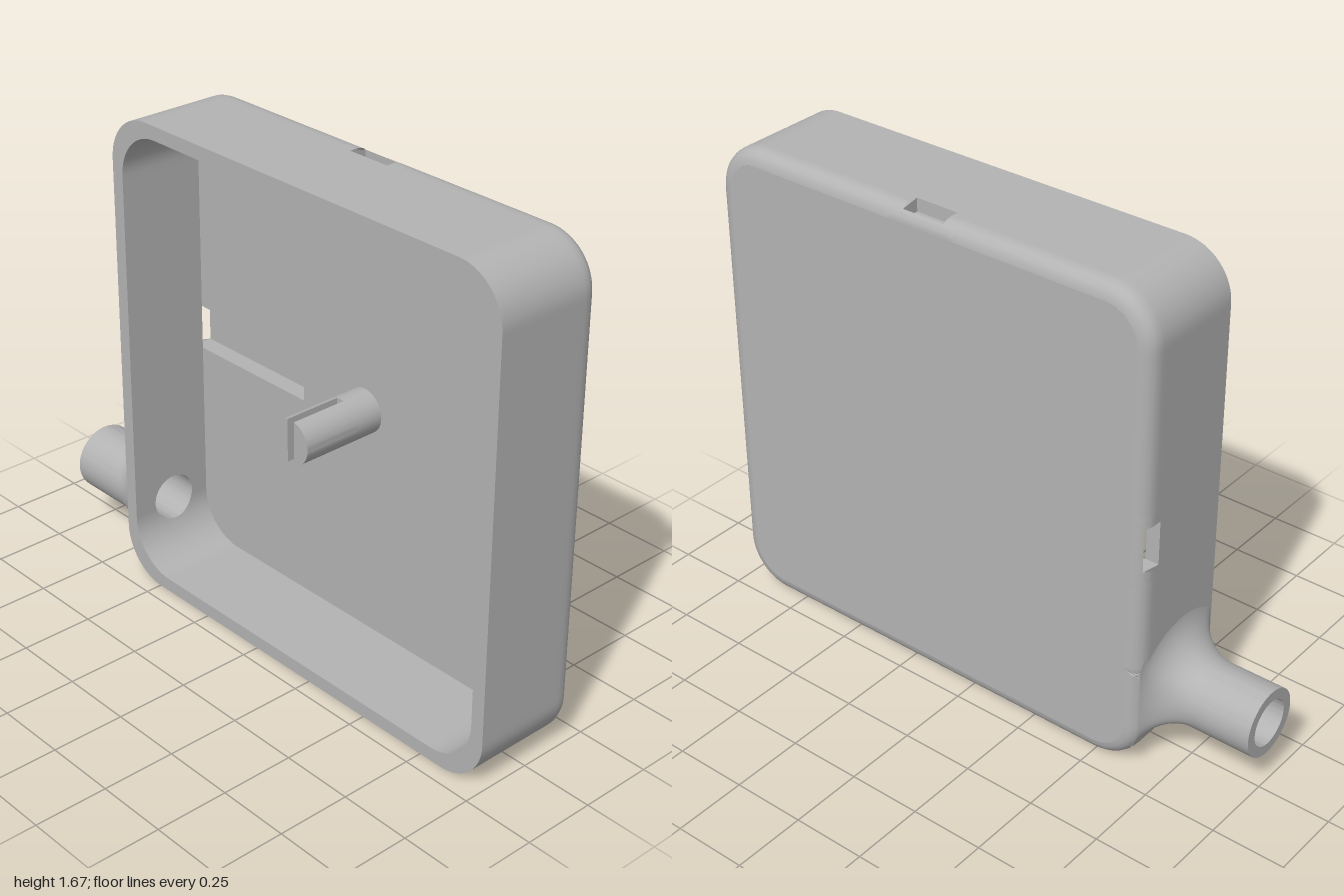
import * as THREE from 'three';
import { mergeGeometries, toCreasedNormals } from 'three/addons/utils/BufferGeometryUtils.js';

const FRONT = 0.192, BACK = -0.192, FLOOR = -0.113, GROOVE = -0.175;
const FILLET = 0.05, SLOT = 0.0775;
const OUTER = { half: 0.833, r: 0.167 }, INNER = { half: 0.786, r: 0.165 };
const PIPE = { y: -0.598, z: 0.03, r: 0.116, bore: 0.08, end: -1.167, flare: 0.15 };
const V3 = (x, y, z) => new THREE.Vector3(x, y, z);

const side = ({ half, r }) => 2 * (half - r) + (Math.PI / 2) * r;

// Point and normal on a rounded square, s = distance from the middle of the -x side, going down
function loop(sq, s) {
  const f = sq.half - sq.r, q = side(sq);
  const d = (((s + f) % (4 * q)) + 4 * q) % (4 * q);
  const k = Math.floor(d / q), t = d - k * q;
  const a = Math.max(0, (t - 2 * f) / sq.r);
  const n = new THREE.Vector2(-Math.cos(a), -Math.sin(a));
  const p = new THREE.Vector2(-f, t < 2 * f ? f - t : -f).addScaledVector(n, sq.r);
  const o = new THREE.Vector2();
  return { p: p.rotateAround(o, k * Math.PI / 2), n: n.rotateAround(o, k * Math.PI / 2) };
}

// x of the -x wall at height y, following the rounded corner
function wallX({ half, r }, y) {
  const f = half - r, d = Math.min(r, Math.max(0, -f - y));
  return -f - Math.sqrt(r * r - d * d);
}

// Surface through an (nu + 1) x (nv + 1) net of points
function lattice(nu, nv, fn, flip = false) {
  const pos = [], idx = [];
  for (let i = 0; i <= nu; i++) for (let j = 0; j <= nv; j++) pos.push(...fn(i, j).toArray());
  for (let i = 0; i < nu; i++) for (let j = 0; j < nv; j++) {
    const a = i * (nv + 1) + j, b = a + nv + 1;
    idx.push(...(flip ? [a, b + 1, b, a, a + 1, b + 1] : [a, b, b + 1, a, b + 1, a + 1]));
  }
  const g = new THREE.BufferGeometry();
  g.setAttribute('position', new THREE.Float32BufferAttribute(pos, 3));
  g.setIndex(idx);
  return g.toNonIndexed();
}

const N = 24;
// Plain strip of wall from s0 to s1
function strip(map, s0, s1, depth, flip) {
  const nu = Math.ceil((s1 - s0) / 0.015);
  return lattice(nu, N, (i, j) => map(s0 + (s1 - s0) * i / nu, depth * j / N), flip);
}

// Strip of wall with an opening: round (r) or rectangular (hs, hv)
function holed(map, s0, s1, depth, hole, flip) {
  const corners = [[-1, -1], [1, -1], [1, 1], [-1, 1], [-1, -1]];
  const m = 8;
  return lattice(4 * N, m, (i, j) => {
    const k = Math.min(3, Math.floor(i / N)), t = (i - k * N) / N;
    const u = THREE.MathUtils.lerp(corners[k][0], corners[k + 1][0], t);
    const w = THREE.MathUtils.lerp(corners[k][1], corners[k + 1][1], t);
    const rim = new THREE.Vector2(s0 + (s1 - s0) * (u + 1) / 2, depth * (w + 1) / 2);
    const c = new THREE.Vector2(hole.s, hole.v);
    const edge = hole.r
      ? rim.clone().sub(c).setLength(hole.r).add(c)
      : new THREE.Vector2(hole.s + hole.hs * u, hole.v + hole.hv * w);
    rim.lerp(edge, j / m);
    return map(rim.x, rim.y);
  }, flip);
}

// Outline points of a rounded square
function outline(sq, s0, s1, inset = 0) {
  const pts = [];
  for (let i = 0; i <= 400; i++) {
    const { p, n } = loop(sq, s0 + (s1 - s0) * i / 400);
    pts.push(p.addScaledVector(n, -inset));
  }
  return pts;
}

// Walls of a slot entering the -x side and ending at x1; its roof ends at roofX
function slotWalls(x1, roofX) {
  const x0 = -OUTER.half, xb = x0 + 0.0125;
  const quad = (a, b, c, d) => lattice(1, 1, (i, j) => [[a, d], [b, c]][i][j]);
  const parts = [
    quad(V3(xb, -SLOT, GROOVE), V3(x1, -SLOT, GROOVE), V3(x1, SLOT, GROOVE), V3(xb, SLOT, GROOVE)),
    quad(V3(x1, SLOT, GROOVE), V3(x1, -SLOT, GROOVE), V3(x1, -SLOT, FLOOR), V3(x1, SLOT, FLOOR)),
    quad(V3(x0, SLOT, FLOOR), V3(roofX, SLOT, FLOOR), V3(roofX, -SLOT, FLOOR), V3(x0, -SLOT, FLOOR)),
    quad(V3(x1, -SLOT, GROOVE), V3(xb, -SLOT, GROOVE), V3(x0, -SLOT, FLOOR), V3(x1, -SLOT, FLOOR)),
    quad(V3(xb, SLOT, GROOVE), V3(x1, SLOT, GROOVE), V3(x1, SLOT, FLOOR), V3(x0, SLOT, FLOOR)),
  ];
  return toCreasedNormals(mergeGeometries(parts), 0.5);
}

export function createModel() {
  const grey = new THREE.MeshStandardMaterial({ color: 0xb3b3b3, side: THREE.DoubleSide });
  grey.name = 'grey';
  const model = new THREE.Group();
  model.name = 'openCase';
  model.position.set(0, 0, 0);
  const body = new THREE.Group();
  body.name = 'body';
  body.position.set(0.167, 0.833, 0);
  model.add(body);
  const add = (name, geo) => {
    const m = new THREE.Mesh(geo, grey);
    m.name = name;
    body.add(m);
    return m;
  };

  // Outer wall with rounded back edge, two slots and the pipe opening
  const straight = FRONT - BACK - FILLET, depth = straight + FILLET * Math.PI / 2;
  const outerMap = (s, v) => {
    const { p, n } = loop(OUTER, s);
    const a = Math.max(0, (v - straight) / FILLET);
    p.addScaledVector(n, -FILLET * (1 - Math.cos(a)));
    return V3(p.x, p.y, FRONT - Math.min(v, straight) - FILLET * Math.sin(a));
  };
  const q = side(OUTER), L = 4 * q;
  const vTop = FRONT - FLOOR;
  const vBottom = straight + FILLET * Math.asin((BACK + FILLET - GROOVE) / FILLET);
  const slot = s => ({ s, v: (vTop + vBottom) / 2, hs: SLOT, hv: (vBottom - vTop) / 2 });
  const bore = { s: -PIPE.y, v: FRONT - PIPE.z, r: PIPE.bore };
  add('outerWall', toCreasedNormals(mergeGeometries([
    holed(outerMap, -0.13, 0.13, depth, slot(0), true),
    strip(outerMap, 0.13, 0.45, depth, true),
    holed(outerMap, 0.45, 0.75, depth, bore, true),
    strip(outerMap, 0.75, 3 * q - 0.13, depth, true),
    holed(outerMap, 3 * q - 0.13, 3 * q + 0.13, depth, slot(3 * q), true),
    strip(outerMap, 3 * q + 0.13, L - 0.13, depth, true),
  ]), 0.6));

  // Inner wall
  const innerMap = (s, v) => {
    const { p } = loop(INNER, s);
    return V3(p.x, p.y, FRONT - v);
  };
  const Li = 4 * side(INNER);
  add('innerWall', toCreasedNormals(mergeGeometries([
    holed(innerMap, 0.45, 0.75, vTop, bore),
    strip(innerMap, 0.75, Li + 0.45, vTop),
  ]), 0.6));

  // Front rim, back panel and inner floor notched for the groove
  const rim = new THREE.Shape(outline(OUTER, 0, L));
  rim.holes.push(new THREE.Path(outline(INNER, 0, Li)));
  add('frontRim', new THREE.ShapeGeometry(rim)).position.z = FRONT;
  const back = new THREE.ShapeGeometry(new THREE.Shape(outline(OUTER, 0, L, FILLET)));
  add('backPanel', back.rotateY(Math.PI).translate(0, 0, BACK));
  const grooveEnd = -0.28;
  const floor = new THREE.Shape([...outline(INNER, SLOT, Li - SLOT),
    new THREE.Vector2(grooveEnd, SLOT), new THREE.Vector2(grooveEnd, -SLOT)]);
  add('innerFloor', new THREE.ShapeGeometry(floor)).position.z = FLOOR;

  // Groove through the side wall, and shallow pocket in the top
  add('sideGroove', slotWalls(grooveEnd, -INNER.half));
  add('topPocket', slotWalls(-INNER.half - 0.002, -INNER.half - 0.002)).rotation.z = -Math.PI / 2;

  // Pipe that flares into the corner of the case
  const around = 72, rows = 12;
  const ringPoint = (x, r, a) => V3(x, PIPE.y + r * Math.sin(a), PIPE.z + r * Math.cos(a));
  add('pipe', toCreasedNormals(lattice(around, rows + 1, (i, j) => {
    const a = i / around * Math.PI * 2, c = Math.cos(a), s = Math.sin(a);
    if (j === 0) return ringPoint(PIPE.end, PIPE.r, a);
    const zRoom = c > 0 ? FRONT - PIPE.z : 0.21;
    const rEnd = Math.min(PIPE.r + PIPE.flare, zRoom / Math.max(Math.abs(c), 1e-6),
      s < 0 ? 0.175 / Math.max(-s, 1e-6) : 9);
    const phiEnd = Math.acos(1 - (rEnd - PIPE.r) / PIPE.flare);
    const xEnd = wallX(OUTER, PIPE.y + rEnd * s) + 0.002;
    const phi = phiEnd * (j - 1) / rows;
    return ringPoint(xEnd - PIPE.flare * (Math.sin(phiEnd) - Math.sin(phi)),
      PIPE.r + PIPE.flare * (1 - Math.cos(phi)), a);
  }), 0.7));
  add('pipeBore', toCreasedNormals(lattice(around, 1, (i, j) => {
    const a = i / around * Math.PI * 2;
    const x = j ? wallX(INNER, PIPE.y + PIPE.bore * Math.sin(a)) : PIPE.end;
    return ringPoint(x, PIPE.bore, a);
  }, true), 0.7));
  const lip = new THREE.RingGeometry(PIPE.bore, PIPE.r, around).rotateY(-Math.PI / 2);
  add('pipeLip', lip.translate(PIPE.end, PIPE.y, PIPE.z));

  // Centre post with a slit in its tip
  const postR = 0.075, slit = 0.014, slitFloor = -0.01;
  const base = new THREE.CylinderGeometry(postR, postR, slitFloor - FLOOR, 48).rotateX(Math.PI / 2);
  add('postBase', base.translate(0, 0, (slitFloor + FLOOR) / 2));
  const a0 = Math.acos(slit / postR);
  const half = new THREE.Shape().absarc(0, 0, postR, -a0, a0, false);
  const prong = toCreasedNormals(new THREE.ExtrudeGeometry(half,
    { depth: FRONT - slitFloor, bevelEnabled: false, curveSegments: 24 }), 0.6);
  for (const [name, turn] of [['postProngLeft', 0], ['postProngRight', Math.PI]]) {
    const m = add(name, prong);
    m.position.z = slitFloor;
    m.rotation.z = turn;
  }
  return model;
}
